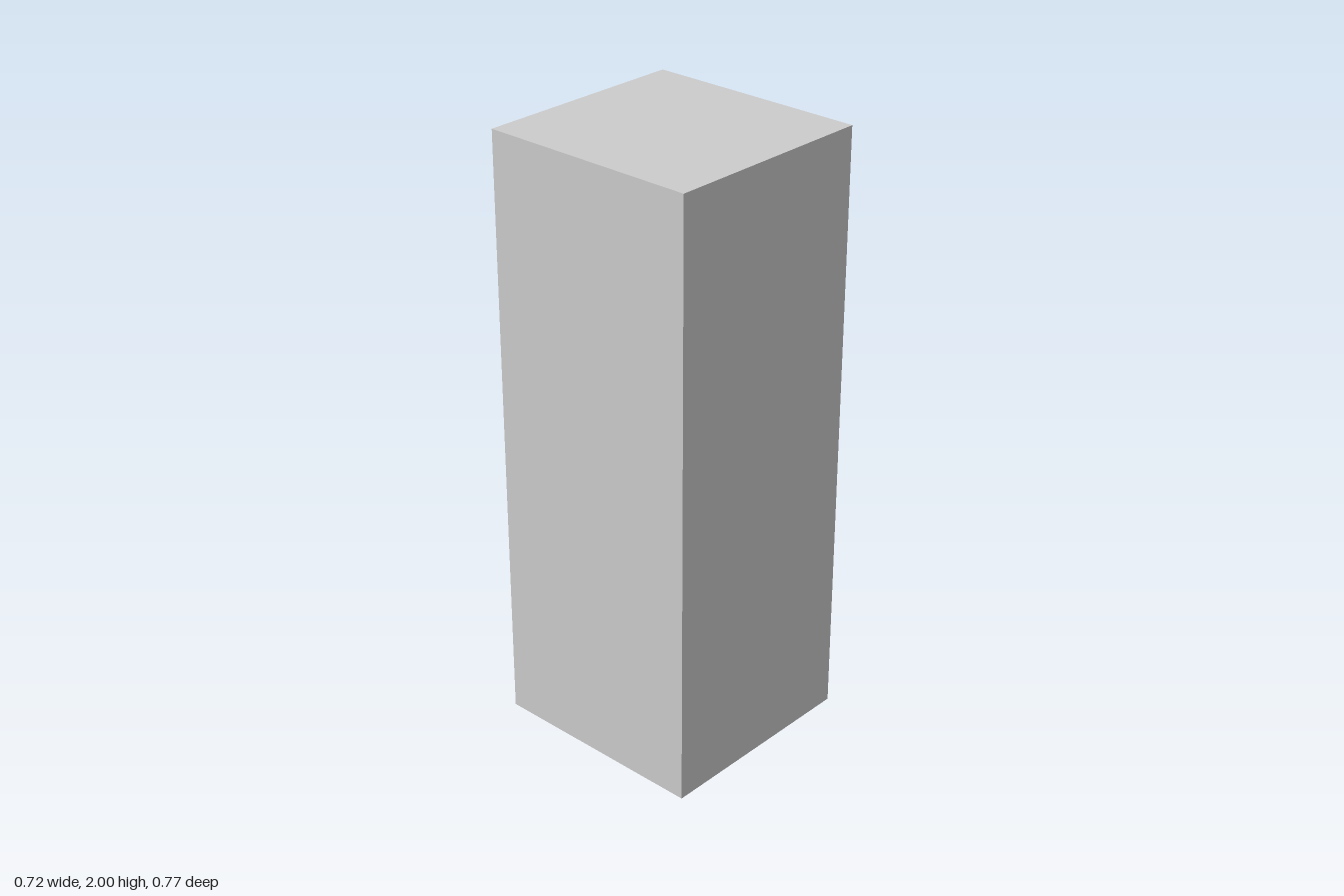
import * as THREE from 'three';

const W = 0.72, H = 2, FRONT = 0.383, FACE = -0.357;
const PITCH = 0.467, FIRST = 0.302, GAP = 0.008;
const material = new THREE.MeshStandardMaterial({ color: 0xcccccc, side: THREE.DoubleSide });

function add(parent, name, geometry, x = 0, y = 0, z = 0) {
  const mesh = new THREE.Mesh(geometry, material);
  mesh.name = name;
  mesh.position.set(x, y, z);
  parent.add(mesh);
  return mesh;
}

// Rectangle with optional rounded corners, centred on (0, y)
function rect(w, h, y = 0, r = 0, Type = THREE.Shape) {
  const s = new Type(), a = w / 2, b = h / 2;
  s.moveTo(-a + r, y - b);
  s.lineTo(a - r, y - b);
  if (r) s.quadraticCurveTo(a, y - b, a, y - b + r);
  s.lineTo(a, y + b - r);
  if (r) s.quadraticCurveTo(a, y + b, a - r, y + b);
  s.lineTo(-a + r, y + b);
  if (r) s.quadraticCurveTo(-a, y + b, -a, y + b - r);
  s.lineTo(-a, y - b + r);
  if (r) s.quadraticCurveTo(-a, y - b, -a + r, y - b);
  s.closePath();
  return s;
}

const extrude = (shape, depth) =>
  new THREE.ExtrudeGeometry(shape, { depth, bevelEnabled: false, curveSegments: 4 });

export function createModel() {
  const cabinet = new THREE.Group();
  cabinet.name = 'filingCabinet';
  const depth = FRONT - FACE, midZ = (FRONT + FACE) / 2;

  // Sheet metal shell, open underneath
  add(cabinet, 'plainPanel', new THREE.PlaneGeometry(W, H), 0, H / 2, FRONT);
  add(cabinet, 'topPanel', new THREE.PlaneGeometry(W, depth), 0, H, midZ).rotation.x = -Math.PI / 2;
  for (const s of [1, -1]) {
    const side = add(cabinet, s > 0 ? 'leftPanel' : 'rightPanel',
      new THREE.PlaneGeometry(depth, H), s * W / 2, H / 2, midZ);
    side.rotation.y = s * Math.PI / 2;
  }

  // Drawer side: frame around one tall opening, closed by a recessed panel
  const openH = PITCH * 4 + GAP, openY = FIRST + PITCH * 1.5;
  const frame = rect(W, H, H / 2);
  frame.holes.push(rect(0.636, openH, openY, 0, THREE.Path));
  add(cabinet, 'drawerFrame', extrude(frame, 0.01), 0, 0, FACE);
  add(cabinet, 'recessPanel', new THREE.PlaneGeometry(0.636, openH), 0, openY, FACE + 0.01);

  // Handle plate with two finger slots
  const plate = rect(0.24, 0.11, 0, 0.012);
  for (const y of [0.022, -0.022]) plate.holes.push(rect(0.2, 0.028, y, 0, THREE.Path));
  const handleGeometry = extrude(plate, 0.023);
  const drawerGeometry = new THREE.BoxGeometry(0.62, PITCH - GAP, 0.013);

  for (let i = 0; i < 4; i++) {
    const drawer = new THREE.Group();
    drawer.name = 'drawer' + (i + 1);
    drawer.position.y = FIRST + i * PITCH;
    add(drawer, 'drawerFront', drawerGeometry, 0, 0, FACE + 0.0035);
    add(drawer, 'handle', handleGeometry, 0, 0, -0.383);
    cabinet.add(drawer);
  }
  return cabinet;
}
